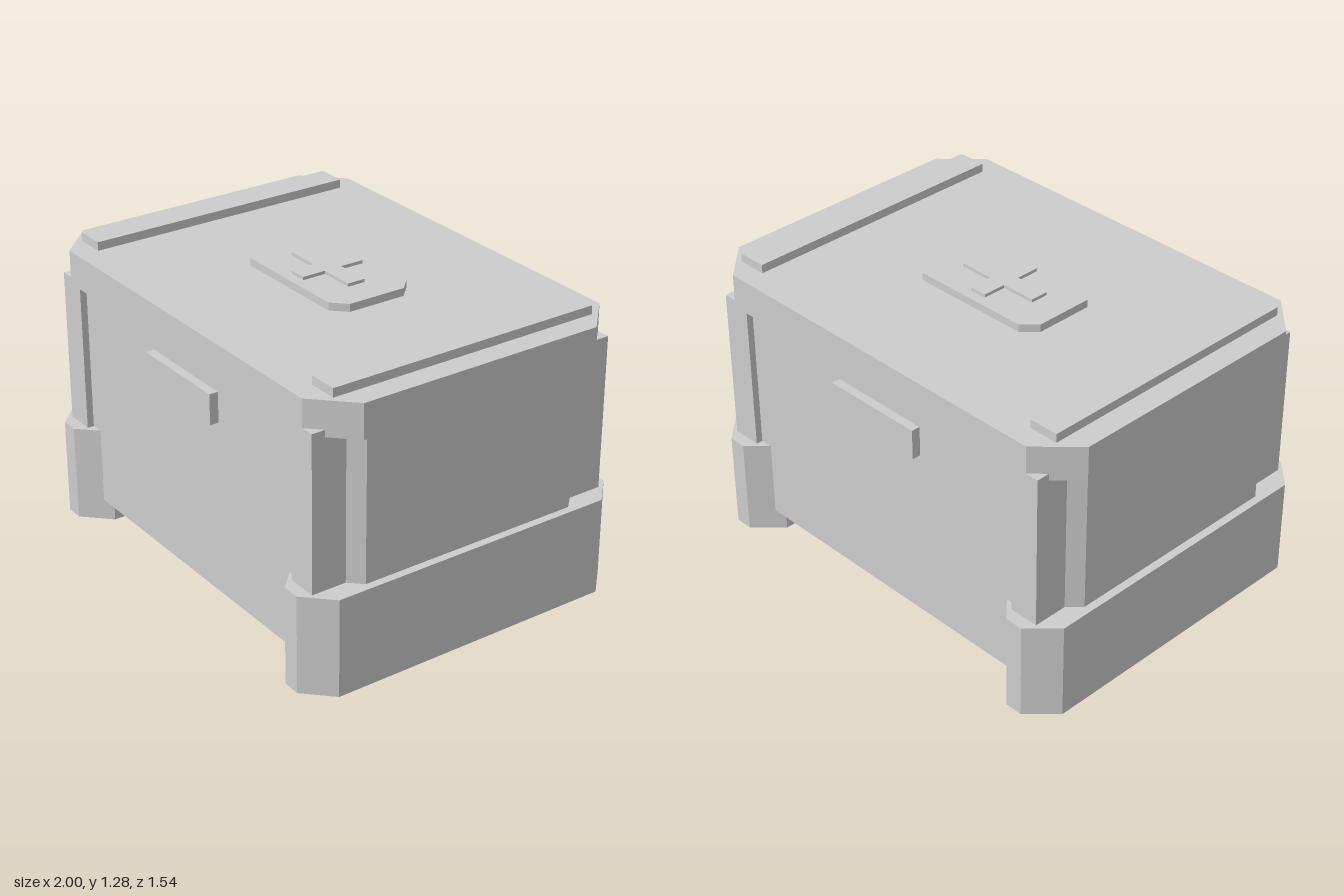
import * as THREE from 'three';

const casing = new THREE.MeshStandardMaterial({ color: 0xcccccc });
casing.name = 'light grey casing';

// Vertical prism from a floor-plan outline of [x, z] points, between two heights
function prism(name, outline, y0, y1) {
  const shape = new THREE.Shape(outline.map(([x, z]) => new THREE.Vector2(x, -z)));
  const geometry = new THREE.ExtrudeGeometry(shape, { depth: y1 - y0, bevelEnabled: false });
  geometry.rotateX(-Math.PI / 2);
  geometry.translate(0, y0, 0);
  const mesh = new THREE.Mesh(geometry, casing);
  mesh.name = name;
  return mesh;
}

// Rectangle outline with its corners cut off at 45 degrees
function cutRectangle(x0, x1, z, cut) {
  return [
    [x0 + cut, z], [x1 - cut, z], [x1, z - cut], [x1, -z + cut],
    [x1 - cut, -z], [x0 + cut, -z], [x0, -z + cut], [x0, z - cut],
  ];
}

function block(name, x0, x1, y0, y1, z0, z1) {
  const mesh = new THREE.Mesh(new THREE.BoxGeometry(x1 - x0, y1 - y0, z1 - z0), casing);
  mesh.position.set((x0 + x1) / 2, (y0 + y1) / 2, (z0 + z1) / 2);
  mesh.name = name;
  return mesh;
}

export function createModel() {
  const crate = new THREE.Group();
  crate.name = 'crate';

  // Main container and overhanging lid
  crate.add(block('body', -0.89, 0.89, 0.095, 1.1, -0.685, 0.685));
  crate.add(prism('lid', cutRectangle(-1, 1, 0.715, 0.16), 1.082, 1.232));

  // Raised badge with a cross on the lid
  crate.add(prism('badge', cutRectangle(-0.335, 0.335, 0.192, 0.06), 1.22, 1.266));
  const a = 0.04, cx = 0.197, cz = 0.147;
  crate.add(prism('cross', [
    [-a, cz], [a, cz], [a, a], [cx, a], [cx, -a], [a, -a],
    [a, -cz], [-a, -cz], [-a, -a], [-cx, -a], [-cx, a], [-a, a],
  ], 1.26, 1.28));

  for (const side of [1, -1]) {
    const label = side > 0 ? 'left' : 'right';
    const span = (a, b) => (side > 0 ? [a, b] : [-b, -a]);

    // Skid foot along the side
    const [s0, s1] = span(0.68, 0.988);
    crate.add(prism(label + 'Skid', cutRectangle(s0, s1, 0.768, 0.115), 0, 0.433));

    // Raised side panel with bevelled ends
    const [p0, p1] = [0.85 * side, 0.953 * side];
    crate.add(prism(label + 'SidePanel', [
      [p0, 0.56], [0.9 * side, 0.56], [p1, 0.505],
      [p1, -0.505], [0.9 * side, -0.56], [p0, -0.56],
    ], 0.4, 1.09));

    // Strip on the lid
    const [t0, t1] = span(0.768, 0.9);
    crate.add(block(label + 'LidStrip', t0, t1, 1.22, 1.27, -0.62, 0.62));

    // Corner posts, poking out past the cut lid corners
    crate.add(block(label + 'FrontPost', t0, t1, 0.4, 1.112, 0.5, 0.715));
    crate.add(block(label + 'BackPost', t0, t1, 0.4, 1.112, -0.715, -0.5));
  }

  // Latch plates, front and back
  crate.add(block('frontLatch', -0.235, 0.232, 0.87, 1.003, 0.65, 0.724));
  crate.add(block('backLatch', -0.235, 0.232, 0.87, 1.003, -0.724, -0.65));

  return crate;
}
